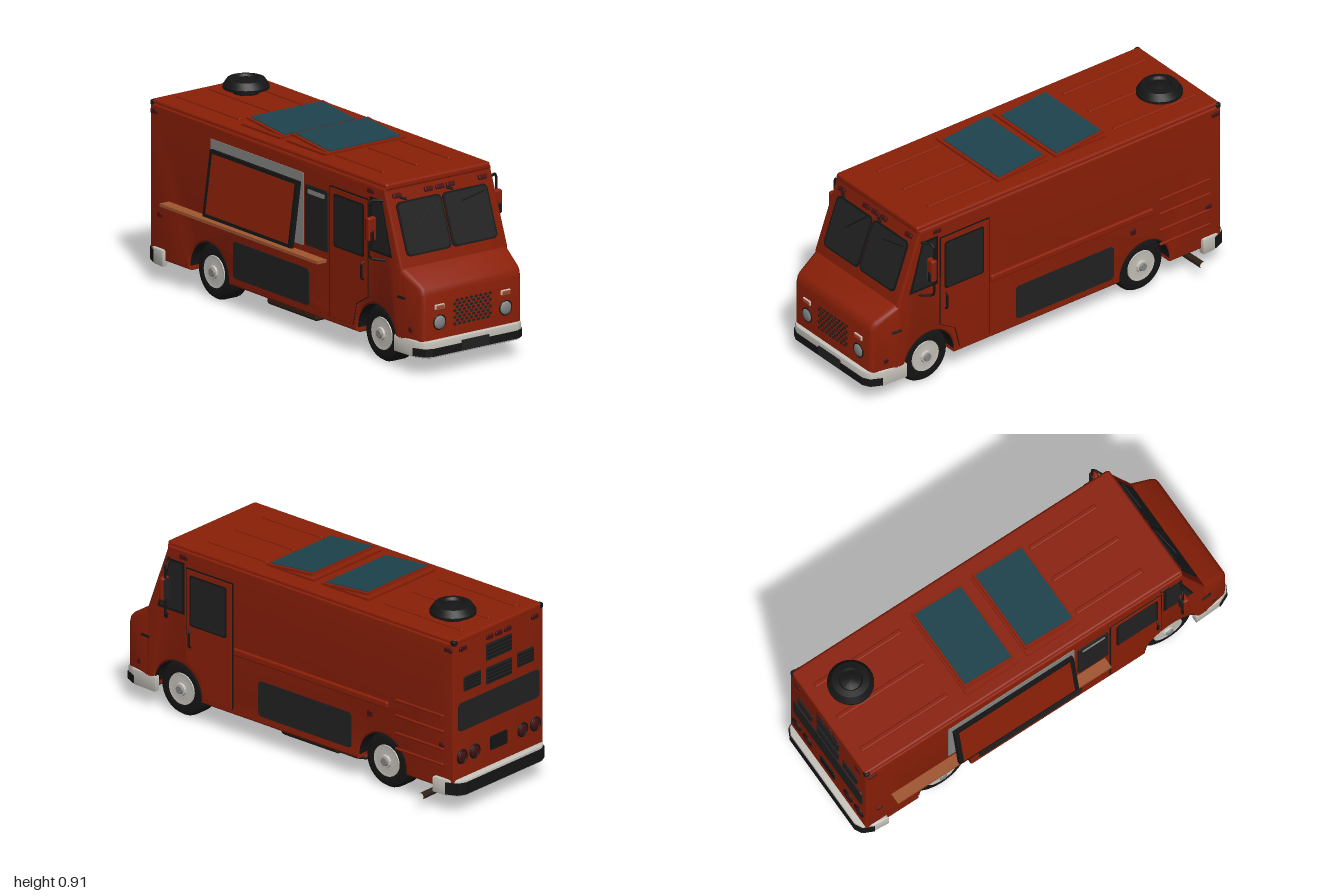
import * as THREE from 'three';
import { toCreasedNormals, mergeGeometries } from 'three/addons/utils/BufferGeometryUtils.js';
import { RoundedBoxGeometry } from 'three/addons/geometries/RoundedBoxGeometry.js';

const mat = (name, color) => Object.assign(new THREE.MeshStandardMaterial({ color }), { name });
const M = {
  paint: mat('red paint', 0x8a1f07), black: mat('black rubber', 0x151515), glass: mat('dark glass', 0x212121),
  chrome: mat('chrome', 0xc4c0b9), grey: mat('grey', 0x858683), solar: mat('teal panel', 0x1d424d),
  wood: mat('counter wood', 0xa0552f), chassis: mat('chassis brown', 0x302117), lamp: mat('lamp red', 0x461012),
  amber: mat('amber lens', 0xa84526),
};
M.black.side = THREE.DoubleSide;
const WHEEL_Z = [0.67, -0.545], HALF = 0.3;

function add(parent, name, geo, material, x = 0, y = 0, z = 0) {
  const m = new THREE.Mesh(geo, material);
  m.name = name;
  m.position.set(x, y, z);
  parent.add(m);
  return m;
}
const box = (p, name, m, w, h, d, x, y, z) => add(p, name, new THREE.BoxGeometry(w, h, d), m, x, y, z);
const soft = (p, name, m, w, h, d, x, y, z, r = 0.008) => add(p, name, new RoundedBoxGeometry(w, h, d, 2, r), m, x, y, z);
const tube = (p, name, m, pts, r) => {
  const path = new THREE.CurvePath(), v = pts.map(a => new THREE.Vector3(...a));
  for (let i = 1; i < v.length; i++) path.add(new THREE.LineCurve3(v[i - 1], v[i]));
  return add(p, name, new THREE.TubeGeometry(path, (v.length - 1) * 8, r, 8), m);
};
const poly = pts => new THREE.Shape(pts.map(a => new THREE.Vector2(...a)));

// Rounded rectangle shape between two corners
function rect(x0, y0, x1, y1, r = 0.012) {
  const s = new THREE.Shape();
  s.absarc(x1 - r, y1 - r, r, 0, Math.PI / 2);
  s.absarc(x0 + r, y1 - r, r, Math.PI / 2, Math.PI);
  s.absarc(x0 + r, y0 + r, r, Math.PI, Math.PI * 1.5);
  s.absarc(x1 - r, y0 + r, r, Math.PI * 1.5, Math.PI * 2);
  return s;
}
const slab = (shape, t) => new THREE.ExtrudeGeometry(shape, { depth: t, bevelEnabled: false, curveSegments: 5 });

// Thin plate on a side wall; the shape is drawn in (z, y)
function sidePlate(p, name, m, shape, side, out, t = 0.008) {
  const g = slab(shape, t).rotateY(-Math.PI / 2);
  return add(p, name, g, m, side > 0 ? HALF + out : -HALF - out + t);
}
// Thin plate facing forward; the shape is drawn in (x, y)
const facePlate = (p, name, m, shape, z, t = 0.008) => add(p, name, slab(shape, t), m, 0, 0, z - t);

// Profile in (z, y) extruded across the vehicle with rounded edges
function hull(shape, bevel) {
  const depth = HALF * 2 - bevel * 2;
  return new THREE.ExtrudeGeometry(shape, {
    depth, bevelSize: bevel, bevelThickness: bevel, bevelOffset: -bevel, bevelSegments: 3, curveSegments: 20,
  }).translate(0, 0, -depth / 2).rotateY(-Math.PI / 2);
}

function buildBody(g) {
  const s = new THREE.Shape();
  s.moveTo(-0.97, 0.11);
  for (const z of [...WHEEL_Z].reverse()) {
    s.lineTo(z - 0.14, 0.11);
    s.absarc(z, 0.13, 0.14, Math.PI, 0, true);
    s.lineTo(z + 0.14, 0.11);
  }
  [[0.85, 0.11], [0.85, 0.475], [0.73, 0.8], [0.73, 0.82], [-0.97, 0.82]].forEach(a => s.lineTo(...a));
  add(g, 'bodyShell', toCreasedNormals(hull(s, 0.01), 0.6), M.paint);

  // Tapered nose
  const nose = hull(poly([[0.83, 0.11], [0.98, 0.11], [0.98, 0.37], [0.972, 0.4], [0.955, 0.418], [0.83, 0.483]]), 0.022);
  const p = nose.attributes.position;
  for (let i = 0; i < p.count; i++) p.setX(i, p.getX(i) * (1 - 0.6 * Math.max(0, p.getZ(i) - 0.85)));
  add(g, 'nose', toCreasedNormals(nose, 0.7), M.paint);

  // Roof cap, ribs and rear corner caps
  soft(g, 'roofCap', M.paint, 0.586, 0.034, 1.705, 0, 0.821, -0.118, 0.012);
  for (const x of [-0.185, 0, 0.18]) {
    soft(g, 'roofRib', M.paint, 0.024, 0.014, 0.465, x, 0.839, -0.69, 0.006);
    soft(g, 'roofRib', M.paint, 0.024, 0.014, 0.355, x, 0.839, 0.41, 0.006);
  }
  for (const x of [-0.287, 0.287]) soft(g, 'roofCorner', M.black, 0.026, 0.026, 0.026, x, 0.822, -0.96, 0.008);
}

function buildRoof(g) {
  for (const z of [0.078, -0.248]) {
    box(g, 'panelCurb', M.paint, 0.45, 0.012, 0.28, -0.012, 0.842, z);
    const panel = new THREE.Group();
    panel.name = 'solarPanel';
    panel.position.set(0, 0.857, z);
    panel.rotation.x = 0.1;
    box(panel, 'panelFrame', M.paint, 0.43, 0.01, 0.27, 0, 0, 0);
    box(panel, 'panelFace', M.solar, 0.4, 0.006, 0.25, 0, 0.005, 0);
    box(panel, 'panelLip', M.solar, 0.4, 0.008, 0.004, 0, 0, 0.135);
    g.add(panel);
  }
  const vent = [[0.06, 0], [0.06, 0.022], [0.105, 0.024], [0.105, 0.036], [0.085, 0.066], [0.055, 0.072], [0.047, 0.06], [0.03, 0.066], [0, 0.074]];
  add(g, 'roofVent', toCreasedNormals(new THREE.LatheGeometry(vent.map(a => new THREE.Vector2(...a)), 28), 0.5), M.black, 0.095, 0.838, -0.785);
}

function buildFront(g) {
  // Sloped windshield assembly, local y runs up the slope
  const w = new THREE.Group();
  w.name = 'windshield';
  w.position.set(0, 0.475, 0.85);
  w.rotation.x = -Math.atan2(0.12, 0.325);
  g.add(w);
  for (const s of [-1, 1]) {
    const a = s > 0 ? 0.003 : -0.255, b = s > 0 ? 0.255 : -0.003;
    facePlate(w, 'windshieldSeal', M.black, rect(a, 0.045, b, 0.293, 0.025), 0.005);
    facePlate(w, 'windshieldGlass', M.glass, rect(a + 0.009, 0.054, b - 0.009, 0.284, 0.02), 0.007);
  }
  tube(w, 'wiper', M.black, [[-0.23, 0.312, 0.01], [-0.2, 0.3, 0.014]], 0.006);
  tube(w, 'wiper', M.black, [[0.03, 0.312, 0.01], [0.06, 0.3, 0.014]], 0.006);
  tube(w, 'wiperBlade', M.black, [[-0.145, 0.18, 0.012], [-0.04, 0.28, 0.012]], 0.003);
  tube(w, 'wiperBlade', M.black, [[0.1, 0.24, 0.012], [0.235, 0.264, 0.012]], 0.003);
  for (const x of [-0.24, -0.063, 0, 0.06, 0.24]) soft(w, 'markerLamp', M.lamp, 0.046, 0.022, 0.016, x, 0.323, 0.004, 0.006);

  // Grille of staggered hexagonal holes
  const holes = [];
  for (let r = 0; r < 8; r++) for (let c = 0; c < 8; c++)
    holes.push(new THREE.CircleGeometry(0.0105, 6).scale(1, 0.72, 1).translate(-0.1 + c * 0.0265 + (r % 2) * 0.0133, 0.216 + r * 0.0155, 0.982));
  add(g, 'grilleHoles', mergeGeometries(holes), M.glass);

  for (const x of [-0.185, 0.185]) {
    add(g, 'headlightRing', new THREE.TorusGeometry(0.033, 0.003, 8, 28), M.black, x, 0.24, 0.982);
    add(g, 'headlightLens', new THREE.SphereGeometry(0.032, 24, 10).scale(1, 1, 0.35), M.grey, x, 0.24, 0.98);
    soft(g, 'turnLampFrame', M.chrome, 0.054, 0.024, 0.012, x, 0.312, 0.981, 0.005);
    soft(g, 'turnLamp', M.amber, 0.046, 0.017, 0.012, x, 0.312, 0.984, 0.004);
  }
}

// Wrap-around bumper with a rubber strip, built for the front and turned for the rear
function buildBumper(g, name, half, reach, stripTop, turn) {
  const b = new THREE.Group(), e = 1 - reach;
  b.name = name;
  b.rotation.y = turn;
  const edge = [[half, e], [half - 0.006, 0.93], [half - 0.03, 0.982], [half - 0.065, 1]];
  const s = poly([...edge.map(([x, z]) => [-x, z]), ...edge.reverse(), [half - 0.028, e], [0.265, 0.9], [-0.265, 0.9], [0.028 - half, e]]);
  const geo = new THREE.ExtrudeGeometry(s, { depth: 0.062, bevelSize: 0.006, bevelThickness: 0.008, bevelOffset: -0.006, bevelSegments: 2 });
  add(b, 'bumperBar', toCreasedNormals(geo.rotateX(Math.PI / 2), 0.7), M.chrome, 0, 0.155, 0);
  // Strip following the bumper face and corners
  const h = stripTop - 0.093, y = (stripTop + 0.093) / 2, path = edge.map(([x, z]) => [x, z + 0.001]);
  box(b, 'bumperStrip', M.black, 2 * (half - 0.065), h, 0.008, 0, y, 0.999);
  for (const k of [-1, 1]) for (let i = 0; i < 2; i++) {
    const [[x0, z0], [x1, z1]] = [path[i], path[i + 1]];
    const m = box(b, 'bumperStripCorner', M.black, Math.hypot(x1 - x0, z1 - z0), h, 0.008, k * (x0 + x1) / 2, y, (z0 + z1) / 2 - 0.001);
    m.rotation.y = k * Math.atan2(z0 - z1, x1 - x0);
  }
  g.add(b);
}

function buildSide(g, s) {
  const win = poly([[0.785, 0.51], [0.625, 0.51], [0.625, 0.76], [0.712, 0.76]].reverse());
  sidePlate(g, 'cabWindowSeal', M.black, win, s, 0.002);
  sidePlate(g, 'cabWindow', M.glass, poly([[0.64, 0.522], [0.64, 0.748], [0.708, 0.748], [0.77, 0.522]].reverse()), s, 0.004);

  // Door with a dark gap around it, trimmed around the wheel arch
  sidePlate(g, 'doorGap', M.black, poly([[0.335, 0.135], [0.505, 0.135], [0.53, 0.24], [0.615, 0.29], [0.615, 0.745], [0.335, 0.745]]), s, 0.002);
  sidePlate(g, 'door', M.paint, poly([[0.342, 0.138], [0.503, 0.138], [0.528, 0.242], [0.611, 0.292], [0.608, 0.738], [0.342, 0.738]]), s, 0.006);
  sidePlate(g, 'doorWindowSeal', M.black, rect(0.37, 0.47, 0.59, 0.715), s, 0.008);
  sidePlate(g, 'doorWindow', M.glass, rect(0.378, 0.478, 0.582, 0.707), s, 0.01);
  tube(g, 'doorHandle', M.black, [[s * 0.303, 0.45, 0.585], [s * 0.318, 0.44, 0.585], [s * 0.318, 0.375, 0.585], [s * 0.303, 0.365, 0.585]], 0.005);

  sidePlate(g, 'lowerPanel', M.glass, rect(-0.365, 0.15, 0.185, 0.32, 0.02), s, 0.004);
  for (const z of [0.63, -0.94]) soft(g, 'sideMarker', M.lamp, 0.014, 0.022, 0.045, s * 0.3, 0.787, z, 0.005);
  soft(g, 'fenderLamp', M.lamp, 0.012, 0.025, 0.025, s * 0.287, 0.205, 0.905, 0.005);
  soft(g, 'rearReflector', M.lamp, 0.012, 0.022, 0.03, s * 0.3, 0.318, -0.9, 0.005);
  tube(g, 'hoodLatch', M.black, [[s * 0.3, 0.345, 0.88], [s * 0.302, 0.345, 0.83]], 0.006);

  // Mirror on a bent arm
  tube(g, 'mirrorArm', M.black, [[s * 0.295, 0.76, 0.72], [s * 0.345, 0.765, 0.695], [s * 0.357, 0.75, 0.69],
    [s * 0.357, 0.51, 0.69], [s * 0.345, 0.495, 0.695], [s * 0.295, 0.487, 0.73]], 0.006);
  soft(g, 'mirrorHousing', M.paint, 0.046, 0.112, 0.03, s * 0.353, 0.636, 0.7, 0.01);
  soft(g, 'mirrorGlass', M.glass, 0.038, 0.1, 0.008, s * 0.353, 0.636, 0.684, 0.003);
  soft(g, 'mirrorClamp', M.black, 0.018, 0.05, 0.02, s * 0.357, 0.607, 0.71, 0.006);
}

function buildServingSide(g) {
  sidePlate(g, 'servingOpening', M.grey, rect(-0.53, 0.42, 0.145, 0.757, 0.006), -1, 0.003);
  sidePlate(g, 'menuBoard', M.glass, rect(0.165, 0.43, 0.325, 0.71, 0.006), -1, 0.008);
  sidePlate(g, 'menuHeader', M.grey, rect(0.185, 0.672, 0.305, 0.692, 0.004), -1, 0.01);
  const hatch = new THREE.Group();
  hatch.name = 'servingHatch';
  hatch.position.set(-0.312, 0.714, -0.19);
  hatch.rotation.z = -0.14;
  box(hatch, 'hatchFrame', M.black, 0.018, 0.305, 0.64, 0, -0.153, 0);
  box(hatch, 'hatchPanel', M.paint, 0.008, 0.272, 0.595, -0.008, -0.153, 0);
  g.add(hatch);
  box(g, 'counterShelf', M.wood, 0.055, 0.014, 1.145, -0.325, 0.386, -0.262);
}

function buildPlainSide(g) {
  soft(g, 'sideRail', M.paint, 0.024, 0.034, 0.915, 0.3, 0.42, -0.128, 0.008);
  for (const y of [0.46, 0.385, 0.3, 0.225]) soft(g, 'sideRib', M.paint, 0.014, 0.012, 0.285, 0.3, y, -0.768, 0.005);
  soft(g, 'fuelCap', M.lamp, 0.014, 0.03, 0.03, 0.3, 0.35, -0.475, 0.005);
}

function buildRear(g) {
  const r = new THREE.Group();
  r.name = 'rear';
  r.rotation.y = Math.PI;
  g.add(r);
  // Louvred vents
  for (const [x, y, w, h] of [[0, 0.715, 0.17, 0.08], [0, 0.6, 0.17, 0.08], [-0.178, 0.61, 0.11, 0.07], [0.178, 0.61, 0.11, 0.07]]) {
    facePlate(r, 'vent', M.glass, rect(x - w / 2, y - h / 2, x + w / 2, y + h / 2, 0.005), 0.975);
    for (let i = 0; i < 4; i++) box(r, 'ventSlat', M.black, w - 0.012, 0.006, 0.01, x, y + ((i - 1.5) * h) / 4.5, 0.975);
  }
  facePlate(r, 'rearPanel', M.glass, rect(-0.27, 0.39, 0.27, 0.525, 0.02), 0.975);
  facePlate(r, 'plateHolder', M.black, rect(-0.055, 0.235, 0.055, 0.3, 0.005), 0.976);
  for (const x of [-0.06, 0, 0.06, -0.24, 0.24]) soft(r, 'rearMarker', M.lamp, 0.045, 0.022, 0.014, x, 0.785, 0.971, 0.005);
  for (const x of [-0.245, -0.16, 0.16, 0.245]) {
    add(r, 'tailLampRing', new THREE.TorusGeometry(0.03, 0.005, 8, 24), M.black, x, 0.265, 0.972);
    add(r, 'tailLamp', new THREE.SphereGeometry(0.029, 20, 10).scale(1, 1, 0.4), M.lamp, x, 0.265, 0.97);
  }
}

function buildWheel(g, s, z) {
  const w = new THREE.Group();
  w.name = 'wheel';
  w.position.set(s * 0.213, 0.13, z);
  w.rotation.z = -s * Math.PI / 2;
  const lathe = pts => toCreasedNormals(new THREE.LatheGeometry(pts.map(a => new THREE.Vector2(...a)), 32), 0.6);
  add(w, 'tire', lathe([[0, -0.056], [0.1, -0.056], [0.12, -0.05], [0.13, -0.035], [0.13, 0.035], [0.12, 0.05], [0.1, 0.058], [0.075, 0.053], [0, 0.047]]), M.black);
  add(w, 'rim', lathe([[0.076, 0.05], [0.074, 0.058], [0.06, 0.056], [0.03, 0.059], [0.027, 0.068], [0, 0.07]]), M.chrome);
  add(w, 'hub', new THREE.CylinderGeometry(0.018, 0.021, 0.008, 16), M.grey, 0, 0.072, 0);
  g.add(w);
}

function buildUnderside(g) {
  for (const [z, d] of [[0.08, 0.88], [-0.83, 0.26], [0.89, 0.15]]) box(g, 'floorPan', M.chassis, 0.55, 0.012, d, 0, 0.108, z);
  box(g, 'spine', M.chassis, 0.26, 0.02, 1.78, 0, 0.11, 0);
  for (const x of [-0.125, 0.125]) box(g, 'frameRail', M.chassis, 0.035, 0.03, 1.7, x, 0.097, 0);
  for (const z of [-0.82, -0.3, 0.05, 0.4, 0.82]) box(g, 'crossMember', M.chassis, 0.3, 0.025, 0.04, 0, 0.093, z);
  for (const z of WHEEL_Z) {
    add(g, 'axle', new THREE.CylinderGeometry(0.022, 0.022, 0.36, 14).rotateZ(Math.PI / 2), M.chassis, 0, 0.12, z);
    add(g, 'differential', new THREE.SphereGeometry(0.048, 16, 12), M.chassis, 0, 0.12, z);
    // Dark lining and inner wall of the wheel arches
    const well = new THREE.CylinderGeometry(0.138, 0.138, 0.592, 24, 1, true, 0, Math.PI).rotateZ(Math.PI / 2);
    add(g, 'wheelWell', well, M.black, 0, 0.13, z);
    box(g, 'wheelWellWall', M.black, 0.3, 0.17, 0.3, 0, 0.2, z);
    for (const s of [-1, 1]) buildWheel(g, s, z);
  }
  const rod = (name, r, len, x, y, z) => add(g, name, new THREE.CylinderGeometry(r, r, len, 14).rotateX(Math.PI / 2), M.chassis, x, y, z);
  rod('driveShaft', 0.018, 1.1, 0, 0.095, 0.05);
  rod('muffler', 0.036, 0.32, 0.2, 0.085, -0.05);
  soft(g, 'fuelTank', M.chassis, 0.12, 0.05, 0.36, -0.2, 0.09, 0, 0.015);
  tube(g, 'exhaustPipe', M.chassis, [[0.2, 0.075, 0.25], [0.2, 0.068, -0.33], [0.11, 0.066, -0.4], [0.11, 0.066, -0.76], [0.15, 0.066, -0.82], [0.355, 0.066, -0.825]], 0.016);
  box(g, 'stepBracket', M.black, 0.018, 0.03, 0.06, -0.115, 0.077, 0.36);
}

export function createModel() {
  const g = new THREE.Group();
  g.name = 'foodTruck';
  buildBody(g);
  buildRoof(g);
  buildFront(g);
  buildBumper(g, 'frontBumper', 0.302, 0.2, 0.129, 0);
  buildBumper(g, 'rearBumper', 0.317, 0.14, 0.15, Math.PI);
  facePlate(g, 'frontPlateHolder', M.glass, rect(-0.078, 0.094, 0.078, 0.142, 0.004), 1.004);
  for (const s of [-1, 1]) buildSide(g, s);
  buildServingSide(g);
  buildPlainSide(g);
  buildRear(g);
  buildUnderside(g);
  return g;
}
